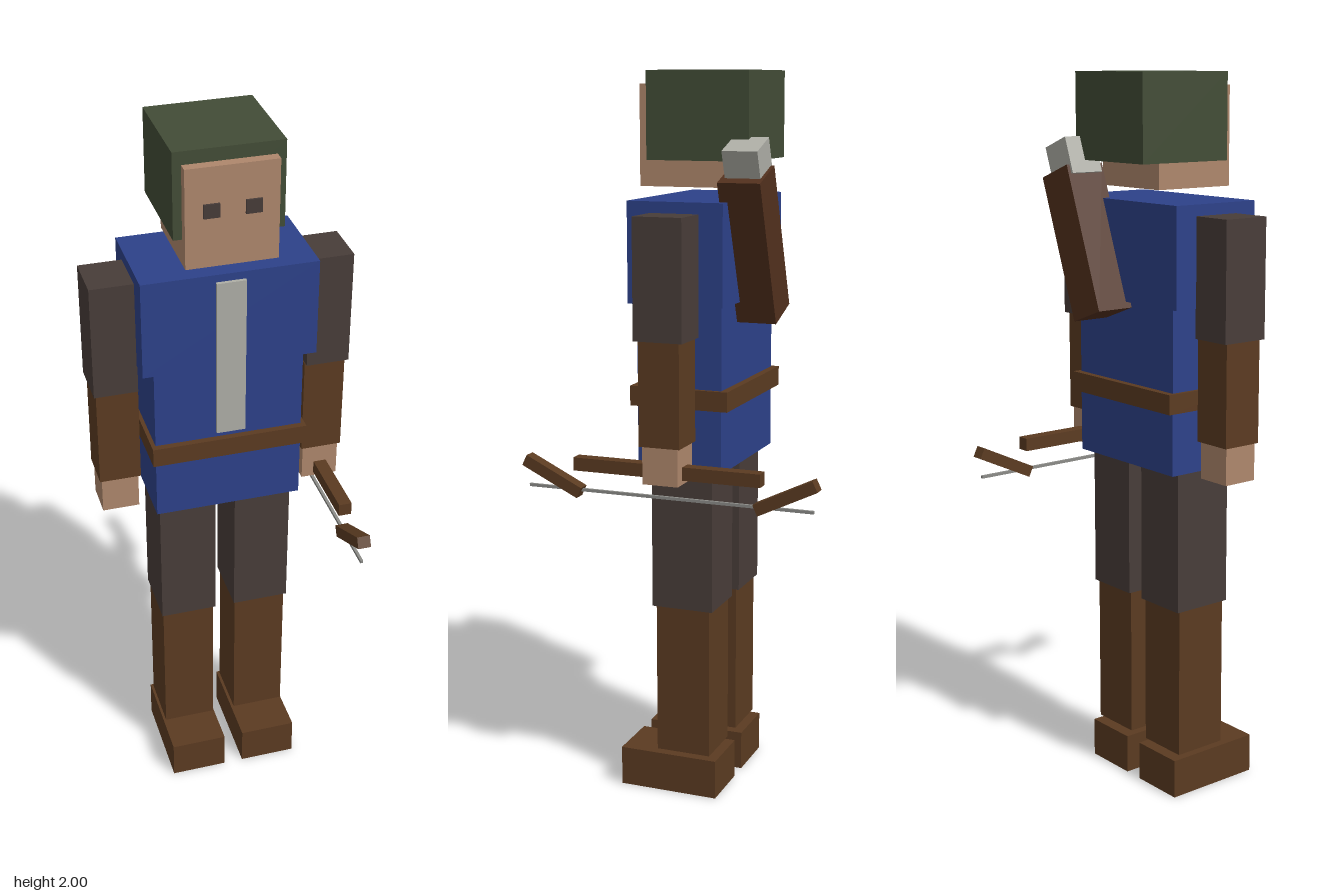
import * as THREE from 'three';

const mat = (name, color) => {
  const m = new THREE.MeshStandardMaterial({ color });
  m.name = name;
  return m;
};

export function createModel() {
  const skin = mat('skin', 0xae876c);
  const blue = mat('tunicBlue', 0x2d4189);
  const cloth = mat('darkCloth', 0x483d39);
  const leather = mat('leather', 0x5b3b21);
  const quiverBrown = mat('quiverBrown', 0x52301d);
  const green = mat('hoodGreen', 0x424c36);
  const pale = mat('paleTrim', 0xaeaea6);
  const dark = mat('eyeDark', 0x463b38);
  const cord = mat('cord', 0x8c8c88);

  const model = new THREE.Group();
  model.name = 'archer';

  // Box from min/max extents on each axis
  const box = (parent, name, m, [x0, x1], [y0, y1], [z0, z1]) => {
    const mesh = new THREE.Mesh(new THREE.BoxGeometry(x1 - x0, y1 - y0, z1 - z0), m);
    mesh.position.set((x0 + x1) / 2, (y0 + y1) / 2, (z0 + z1) / 2);
    mesh.name = name;
    parent.add(mesh);
    return mesh;
  };
  // The same box on both sides of the body
  const pair = (parent, name, m, [x0, x1], y, z) => {
    box(parent, name + 'Left', m, [x0, x1], y, z);
    box(parent, name + 'Right', m, [-x1, -x0], y, z);
  };
  const group = (name) => {
    const g = new THREE.Group();
    g.name = name;
    model.add(g);
    return g;
  };

  // Head and hood
  const head = group('headGroup');
  box(head, 'head', skin, [-0.121, 0.121], [1.698, 1.965], [-0.1, 0.143]);
  box(head, 'hood', green, [-0.144, 0.144], [1.768, 2], [-0.172, 0.115]);
  pair(head, 'eye', dark, [0.033, 0.075], [1.832, 1.869], [0.141, 0.149]);

  // Tunic, front trim and belt
  const torso = group('torso');
  box(torso, 'chest', blue, [-0.235, 0.235], [1.397, 1.667], [-0.135, 0.133]);
  box(torso, 'waist', blue, [-0.203, 0.203], [0.945, 1.397], [-0.12, 0.12]);
  box(torso, 'frontTrim', pale, [-0.041, 0.038], [1.2, 1.648], [0.136, 0.146]);
  box(torso, 'belt', leather, [-0.214, 0.214], [1.118, 1.172], [-0.14, 0.138]);

  // Arms
  const arms = group('arms');
  pair(arms, 'sleeve', cloth, [0.233, 0.352], [1.317, 1.637], [-0.068, 0.068]);
  pair(arms, 'forearm', leather, [0.231, 0.345], [1.038, 1.317], [-0.057, 0.057]);
  pair(arms, 'hand', skin, [0.237, 0.339], [0.936, 1.038], [-0.05, 0.05]);

  // Legs
  const legs = group('legs');
  pair(legs, 'thigh', cloth, [0.028, 0.188], [0.548, 0.945], [-0.088, 0.088]);
  pair(legs, 'shin', leather, [0.033, 0.183], [0.122, 0.548], [-0.078, 0.078]);
  pair(legs, 'boot', leather, [0.028, 0.188], [0, 0.111], [-0.098, 0.187]);

  // Quiver leaning towards the left shoulder, with fletchings at its mouth
  const quiver = group('quiverGroup');
  const lean = -Math.PI / 9;
  box(quiver, 'quiver', quiverBrown, [0.036, 0.155], [1.348, 1.75], [-0.23, -0.113]).rotation.z = lean;
  box(quiver, 'fletchings', pale, [0.107, 0.203], [1.717, 1.817], [-0.221, -0.124]).rotation.z = lean;

  // Bow held level in the left hand
  const bow = group('bow');
  const bx = [0.271, 0.307];
  box(bow, 'bowGrip', leather, bx, [0.947, 0.983], [-0.266, 0.266]);
  for (const s of [1, -1]) {
    const z = s * 0.333;
    const limb = box(bow, s > 0 ? 'frontLimb' : 'backLimb', leather, bx, [0.908, 0.94], [z - 0.09, z + 0.09]);
    limb.rotation.x = -s * 0.45;
  }
  box(bow, 'bowString', cord, [0.285, 0.293], [0.887, 0.895], [-0.407, 0.407]);

  return model;
}
